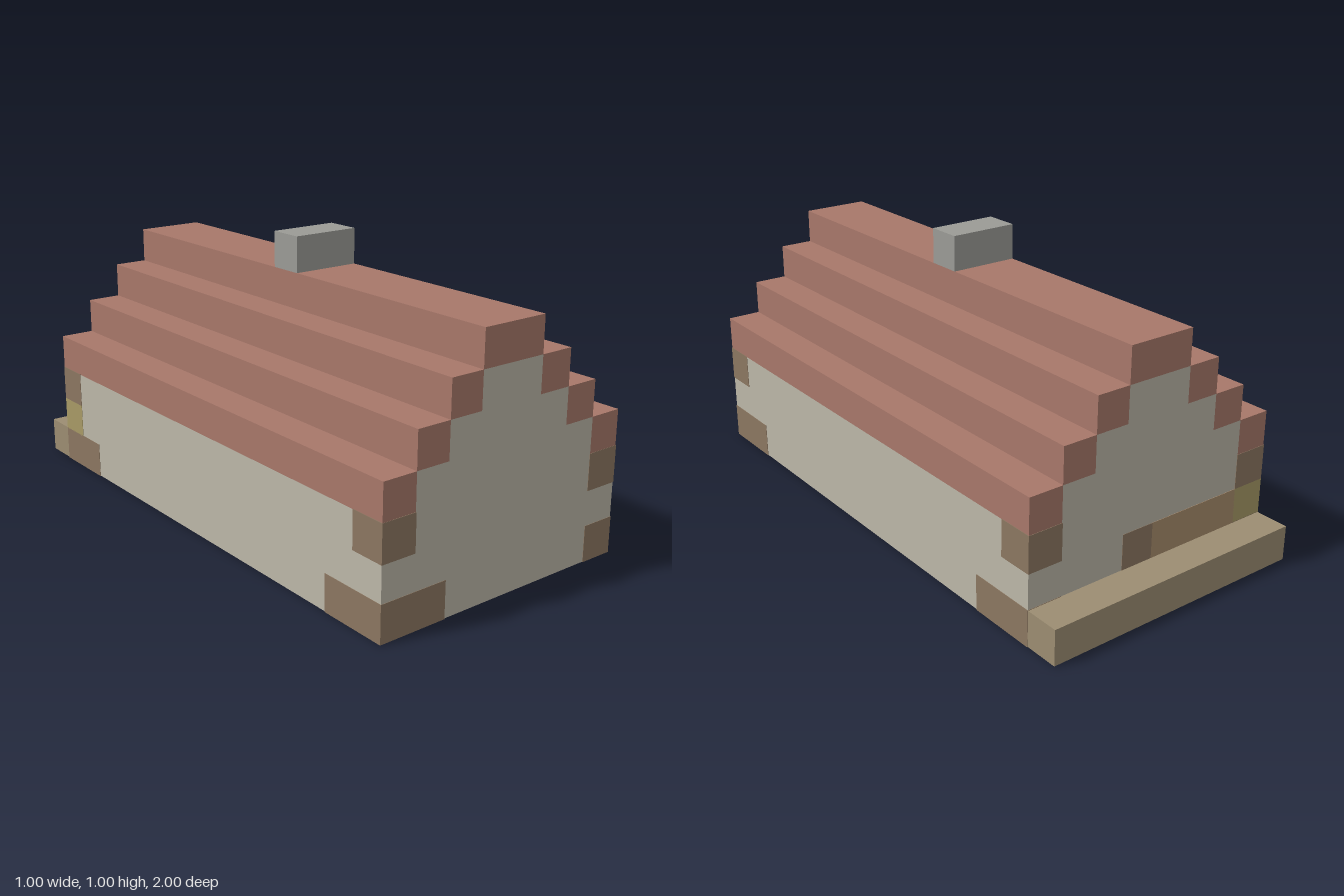
import * as THREE from 'three';

const U = 0.125; // one block
const mat = (color, side = THREE.FrontSide) =>
  new THREE.MeshStandardMaterial({ color, side, flatShading: true });

export function createModel() {
  const model = new THREE.Group();
  const plaster = mat(0xbcb7a8), timber = mat(0x8c7761), tile = mat(0xa8786a),
    stone = mat(0x9b9b96), stepWood = mat(0x9c8d72), dark = mat(0x50443c),
    tan = mat(0xa88c6c), yellow = mat(0xa89a66);

  // Box given by its limits
  function box(name, x0, x1, y0, y1, z0, z1, material, grow = 0) {
    const g = new THREE.BoxGeometry(x1 - x0 + grow, y1 - y0 + grow, z1 - z0 + grow);
    const m = new THREE.Mesh(g, material);
    m.name = name;
    m.position.set((x0 + x1) / 2, (y0 + y1) / 2, (z0 + z1) / 2);
    model.add(m);
    return m;
  }

  // Horizontal slab with a rectangular hole; limits are [x0, x1, z0, z1]
  function slab(name, [x0, x1, z0, z1], [a0, a1, b0, b1], y0, y1, material) {
    const shape = new THREE.Shape([[x0, -z0], [x0, -z1], [x1, -z1], [x1, -z0]]
      .map(p => new THREE.Vector2(...p)));
    shape.holes.push(new THREE.Path([[a0, -b0], [a1, -b0], [a1, -b1], [a0, -b1]]
      .map(p => new THREE.Vector2(...p))));
    const g = new THREE.ExtrudeGeometry(shape, { depth: y1 - y0, bevelEnabled: false });
    g.rotateX(-Math.PI / 2).translate(0, y0, 0);
    const m = new THREE.Mesh(g, material);
    m.name = name;
    model.add(m);
  }

  const back = -7 * U, front = 1;
  const flue = [-U, U, 0, U];
  const inner = [-3 * U, 3 * U, back + U, front - U];

  // Base ring around the recessed underside
  slab('baseWall', [-0.5, 0.5, back, front], inner, 0, U, plaster);
  slab('floor', inner, flue, U - 0.003, U, dark);

  // Stepped walls, narrowing by one block per course
  slab('wall', [-0.5, 0.5, back, front], flue, U, 3 * U, plaster);
  for (let i = 0; i < 3; i++) {
    const w = (3 - i) * U, y = (3 + i) * U;
    slab('gableCourse', [-w, w, back, front], flue, y, y + U, plaster);
    for (const s of [-1, 1]) {
      const a = s * w, b = s * (w + U);
      box('roofCourse', Math.min(a, b), Math.max(a, b), y, y + U, back, front, tile);
    }
  }
  box('roofRidge', -U, U, 6 * U, 7 * U, back, front, tile);

  // Chimney and its flue, open from below
  box('chimney', -U, U, 7 * U, 1, 0, U, stone);
  box('flueLining', -U, U, U, 6 * U, 0, U, mat(0x9b9b96, THREE.BackSide), -0.004);

  // Corner timbers, set just proud of the plaster
  const g = 0.003;
  for (const s of [-1, 1]) {
    const x0 = s < 0 ? -0.5 : 3 * U, x1 = x0 + U;
    for (const z of [back, front - U])
      box('upperCornerTimber', x0, x1, 2 * U, 3 * U, z, z + U, timber, g);
    for (const z of [back, front - 2 * U])
      box('lowerCornerTimber', x0, x1, 0, U, z, z + 2 * U, timber, g);
  }
  box('frontSill', -3 * U, -2 * U, 0, U, front - U, front, timber, g);

  // Rear doorstep and the coloured blocks above it
  box('doorstep', -0.5, 0.5, 0, U, -1, back, stepWood);
  box('doorPost', 0, U, U, 2 * U, back, back + U, timber, g);
  box('doorPanel', -3 * U, 0, U, 2 * U, back, back + U, tan, g);
  box('cornerLamp', -4 * U, -3 * U, U, 2 * U, back, back + U, yellow, g);

  return model;
}
